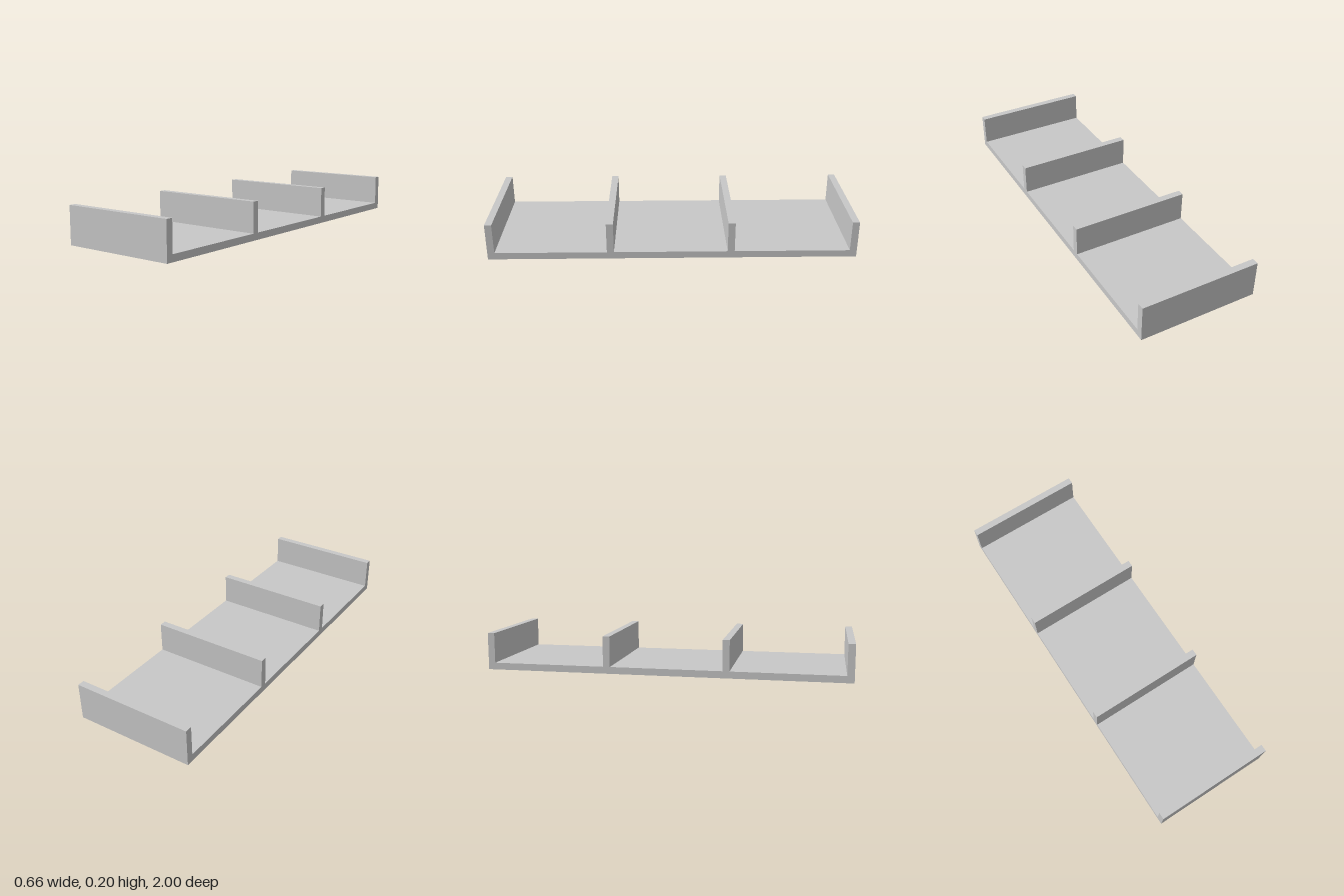
import * as THREE from 'three';

const WIDTH = 0.66, HEIGHT = 0.205, THICK = 0.038;

export function createModel() {
  const group = new THREE.Group();
  group.name = 'dividedTray';
  const lightGrey = new THREE.MeshStandardMaterial({ color: 0xc7c7c7 });
  lightGrey.name = 'lightGrey';

  // Side profile, drawn as (z, y): base plate with four upright walls
  const wallStarts = [-1, -0.336, 0.318, 1 - THICK];
  const profile = new THREE.Shape();
  profile.moveTo(-1, 0);
  profile.lineTo(1, 0);
  for (const z of [...wallStarts].reverse()) {
    if (z + THICK < 1) profile.lineTo(z + THICK, THICK);
    profile.lineTo(z + THICK, HEIGHT);
    profile.lineTo(z, HEIGHT);
    if (z > -1) profile.lineTo(z, THICK);
  }
  profile.closePath();

  // Extrude across the width, then turn so the profile runs along z
  const geometry = new THREE.ExtrudeGeometry(profile, { depth: WIDTH, bevelEnabled: false });
  geometry.translate(0, 0, -WIDTH / 2);
  geometry.rotateY(-Math.PI / 2);

  const tray = new THREE.Mesh(geometry, lightGrey);
  tray.name = 'baseWithDividers';
  group.add(tray);
  return group;
}
